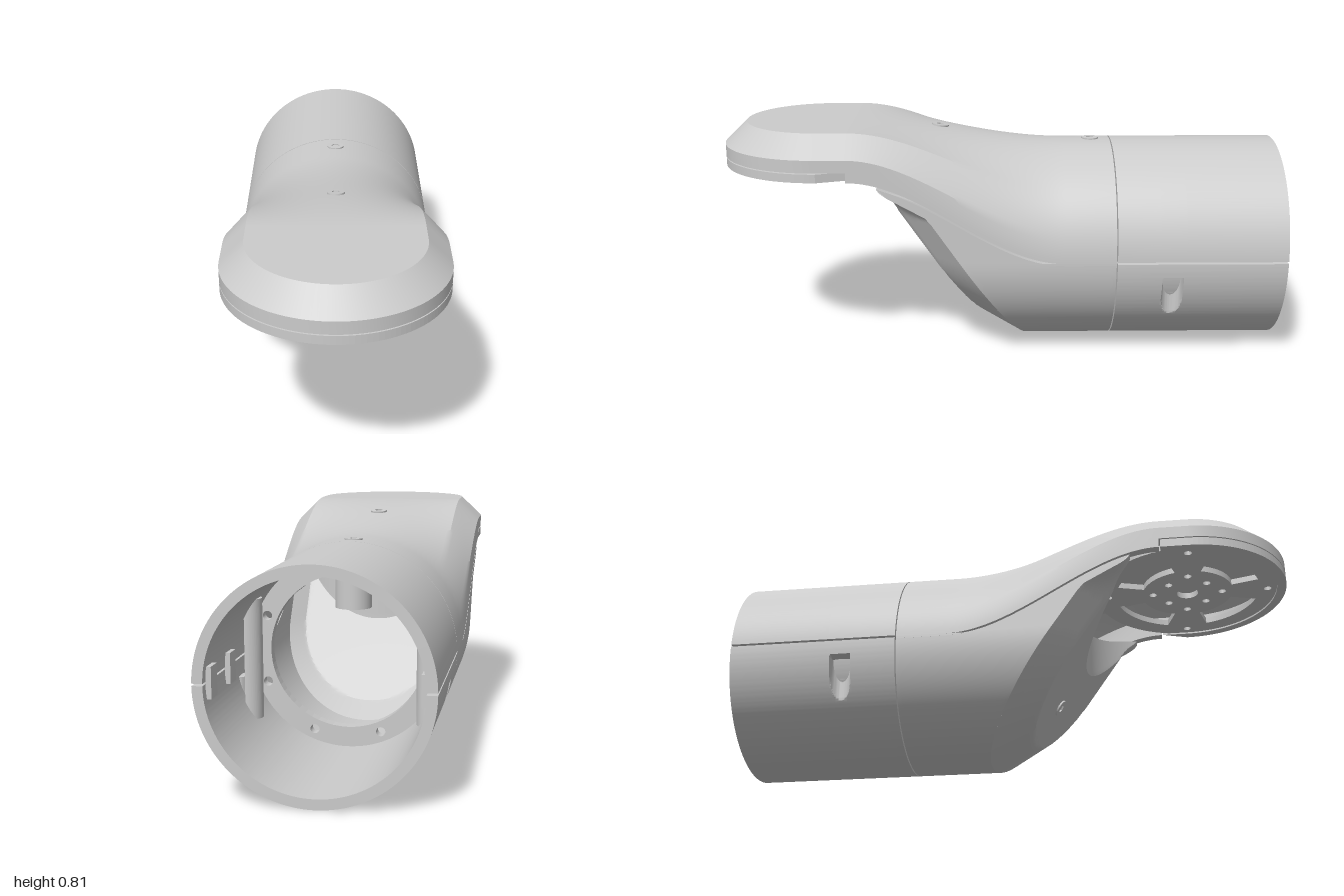
import * as THREE from 'three';
import { mergeGeometries, toCreasedNormals } from 'three/addons/utils/BufferGeometryUtils.js';

const R = 0.368, T = 0.034, HEAD_Z = 0.632, SLOPE = 1.45, GAP = 0.008;
const material = new THREE.MeshStandardMaterial({ color: 0xcccccc, side: THREE.DoubleSide });
const lerp = THREE.MathUtils.lerp, clamp = THREE.MathUtils.clamp, smooth = THREE.MathUtils.smoothstep;

// Blend from round tube (0) to flat head (1), and height of the split line
const blend = (z) => smooth(z, -0.22, 0.53);
const split = (z) => R + 0.292 * blend(z);

function bisect(f, lo, hi) {
  for (let i = 0; i < 40; i++) {
    const m = (lo + hi) / 2;
    if (f(m) < 0) lo = m; else hi = m;
  }
  return (lo + hi) / 2;
}

function surface(nu, nv, fn) {
  const pos = [], idx = [];
  for (let i = 0; i <= nu; i++) for (let j = 0; j <= nv; j++) pos.push(...fn(i / nu, j / nv));
  for (let i = 0; i < nu; i++) for (let j = 0; j < nv; j++) {
    const a = i * (nv + 1) + j, b = a + nv + 1;
    idx.push(a, b, a + 1, b, b + 1, a + 1);
  }
  const g = new THREE.BufferGeometry();
  g.setAttribute('position', new THREE.Float32BufferAttribute(pos, 3));
  g.setIndex(idx);
  return g;
}

function mesh(name, geometry, parent) {
  const m = new THREE.Mesh(geometry, material);
  m.name = name;
  parent.add(m);
  return m;
}

// Wall with thickness: fn(u, v, inset) gives the outer and inner skins, strips close the rims
function shell(name, nu, nv, fn, parent) {
  const rim = (s) => s * T;
  const g = mergeGeometries([
    surface(nu, nv, (u, v) => fn(u, v, 0)),
    surface(nu, nv, (u, v) => fn(u, v, T)),
    surface(nu, 1, (u, s) => fn(u, 0, rim(s))),
    surface(nu, 1, (u, s) => fn(u, 1, rim(s))),
    surface(1, nv, (s, v) => fn(0, v, rim(s))),
    surface(1, nv, (s, v) => fn(1, v, rim(s))),
  ]);
  return mesh(name, toCreasedNormals(g, 0.4), parent);
}

// Front end of the lower shell: slanted face, chamfered border, round scoop under the head
const scoop = (x) => HEAD_Z - Math.sqrt(0.39 ** 2 - x * x);
function frontZ(x, y, e) {
  const d = y < R ? R - Math.hypot(x, y - R) : R - Math.abs(x);
  const bevel = lerp(clamp(d, 0, 0.085) * 1.15, 0.098, smooth(y, 0.52, 0.63));
  return Math.min(y / SLOPE - 0.11 + bevel, scoop(x)) - e * 1.8;
}

function lowerWall(u, v, e) {
  const k = u * 2 - 1, r = R - e, a = clamp(k / 0.7, -1, 1) * Math.PI / 2;
  const f = Math.max(0, (Math.abs(k) - 0.7) / 0.3);
  const x = r * Math.sin(a), y0 = R - r * Math.cos(a);
  const yAt = (z) => y0 + f * (split(z) - GAP - R);
  const end = bisect((z) => z - frontZ(x, yAt(z), e), -0.4, 0.5);
  const z = lerp(-0.4, end, v);
  return [x, yAt(z), z];
}

function lowerFront(u, v, e) {
  const r = R - e, a = (u - 0.5) * Math.PI, x = r * Math.sin(a);
  const bottom = R - r * Math.cos(a);
  const top = bisect((y) => y - split(frontZ(x, y, e)) + GAP, R, 0.66);
  const mid = clamp((scoop(x) + 0.012) * SLOPE, bottom, top);
  const y = v < 0.75 ? lerp(bottom, mid, v / 0.75) : lerp(mid, top, (v - 0.75) / 0.25);
  return [x, y, frontZ(x, y, e)];
}

// Upper shell: half circle that morphs into the flat, chamfered head section
function upperShell(u, v, e) {
  const deg = u * 180 - 90, a = deg * Math.PI / 180, m = Math.abs(deg), s = Math.sign(deg);
  const z = lerp(-0.4, 0.53, v), w = blend(z), r = R - e, c = 0.288 - e * 0.6;
  let hx, hy;
  if (m <= 50) { hx = c * m / 50; hy = 0.815 - e; }
  else if (m <= 75) { hx = lerp(c, r, (m - 50) / 25); hy = lerp(0.815 - e, 0.738, (m - 50) / 25); }
  else { hx = r; hy = lerp(0.738, 0.66, (m - 75) / 15); }
  return [lerp(r * Math.sin(a), s * hx, w), lerp(R + r * Math.cos(a), hy, w), z];
}

function headCap(u, v, e) {
  const profile = [[0, 0.815 - e], [0.288 - e * 0.6, 0.815 - e], [R - e, 0.738], [R - e, 0.694]];
  const [r, y] = profile[Math.round(v * 3)];
  const a = clamp((u - 0.1) / 0.8, 0, 1) * Math.PI;
  const edge = Math.min(u, 1 - u) / 0.1;
  return [r * Math.cos(a), y, lerp(0.53, HEAD_Z, Math.min(1, edge)) + r * Math.sin(a)];
}

// Rear tube halves; the lower one has upright screw recesses in its sides
const tubeZ = [-1];
for (let i = 0; i <= 24; i++) tubeZ.push(-0.645 + i * 0.09 / 24);
tubeZ.push(-0.404);
const tubeHalf = (up) => (u, v, e) => {
  const a = (u - 0.5) * (Math.PI - 0.02), r = R - e, z = tubeZ[Math.round(v * (tubeZ.length - 1))];
  let x = r * Math.sin(a);
  const y = R + up * r * Math.cos(a), dz = z + 0.6;
  if (up < 0 && e === 0 && Math.abs(dz) < 0.035 && y < 0.31) {
    const wall = 0.34 - Math.sqrt(0.035 ** 2 - dz * dz);
    if (Math.abs(x) > wall) x = Math.sign(x) * wall;
  }
  return [x, y, z];
};

const circle = (x, y, r, Kind = THREE.Path) => new Kind().absarc(x, y, r, 0, Math.PI * 2);
const extrude = (shape, depth) =>
  new THREE.ExtrudeGeometry(shape, { depth, bevelEnabled: false, curveSegments: 32 });

function addScrew(parent, position, normal) {
  const shape = circle(0, 0, 0.031, THREE.Shape), hex = new THREE.Path();
  for (let i = 0; i < 6; i++) {
    const a = i * Math.PI / 3;
    hex[i ? 'lineTo' : 'moveTo'](0.015 * Math.cos(a), 0.015 * Math.sin(a));
  }
  hex.closePath();
  shape.holes.push(hex);
  const m = mesh('socketScrew', extrude(shape, 0.006), parent);
  m.position.set(...position);
  m.quaternion.setFromUnitVectors(new THREE.Vector3(0, 0, 1), new THREE.Vector3(...normal).normalize());
}

export function createModel() {
  const model = new THREE.Group();
  model.name = 'angledHousing';

  shell('upperTube', 96, tubeZ.length - 1, tubeHalf(1), model);
  shell('lowerTube', 160, tubeZ.length - 1, tubeHalf(-1), model);
  shell('upperShell', 72, 48, upperShell, model);
  shell('headCap', 80, 3, headCap, model);
  shell('lowerWall', 80, 24, lowerWall, model);
  shell('lowerFront', 80, 60, lowerFront, model);

  // Rim below the head
  const rim = new THREE.Shape();
  rim.moveTo(R, 0.535);
  rim.absarc(0, HEAD_Z, R, 0, Math.PI);
  rim.lineTo(-R, 0.535);
  rim.lineTo(-R + T, 0.535);
  rim.absarc(0, HEAD_Z, R - T, Math.PI, 0, true);
  rim.lineTo(R - T, 0.535);
  mesh('headRim', extrude(rim, 0.03).rotateX(Math.PI / 2), model).position.y = 0.69;

  // Round mounting plate with curved slots and screw holes
  const plate = circle(0, 0, 0.342, THREE.Shape);
  plate.holes.push(circle(0, 0, 0.04));
  for (let i = 0; i < 4; i++) {
    const a = i * Math.PI / 2 + Math.PI / 4, slot = new THREE.Path();
    slot.absarc(0, 0, 0.27, a - 0.5, a + 0.5);
    slot.absarc(0, 0, 0.17, a + 0.5, a - 0.5, true);
    slot.closePath();
    const b = a + Math.PI / 4;
    plate.holes.push(slot, circle(0.1 * Math.cos(a), 0.1 * Math.sin(a), 0.014),
      circle(0.13 * Math.cos(b), 0.13 * Math.sin(b), 0.014), circle(0.3 * Math.cos(b), 0.3 * Math.sin(b), 0.014));
  }
  mesh('mountingPlate', extrude(plate, 0.022).rotateX(Math.PI / 2), model).position.set(0, 0.688, HEAD_Z);

  // Ring flange inside the tube
  const flange = circle(0, 0, R - T + 0.004, THREE.Shape);
  flange.holes.push(circle(0, 0, 0.265));
  for (let i = 0; i < 8; i++) {
    const a = (i + 0.5) * Math.PI / 4;
    flange.holes.push(circle(0.3 * Math.cos(a), 0.3 * Math.sin(a), 0.016));
  }
  mesh('innerFlange', extrude(flange, 0.04), model).position.set(0, R, -0.45);

  // Screw boss under the rear top screw
  mesh('screwBoss', new THREE.CylinderGeometry(0.063, 0.063, 0.12, 32), model).position.set(0, 0.56, -0.33);
  mesh('screwShaft', new THREE.CylinderGeometry(0.033, 0.033, 0.1, 24), model).position.set(0, 0.665, -0.33);

  // Paired parts inside the tube: posts, clip tabs and flange blocks
  for (const s of [1, -1]) {
    const half = new THREE.Shape().absarc(0, 0, 0.048, Math.PI / 2, Math.PI * 1.5);
    half.closePath();
    const post = mesh('sidePost', extrude(half, 0.4).rotateX(Math.PI / 2), model);
    post.position.set(s * 0.304, 0.568, -0.6);
    if (s < 0) post.rotation.y = Math.PI;
    for (const z of [-0.94, -0.74]) {
      mesh('clipTab', new THREE.BoxGeometry(0.02, 0.1, 0.06), model).position.set(s * 0.326, R, z);
    }
    const block = mesh('flangeBlock', new THREE.BoxGeometry(0.07, 0.05, 0.06), model);
    block.position.set(s * 0.18, R + 0.24, -0.39);
    block.rotation.z = s * -0.7 + Math.PI / 2;
  }

  addScrew(model, [0, 0.734, -0.33], [0, 1, 0]);
  addScrew(model, [0, 0.785, 0.22], [0, 1, -0.15]);
  addScrew(model, [0, 0.22, 0.14], [0, -1 / SLOPE, 1]);
  return model;
}
